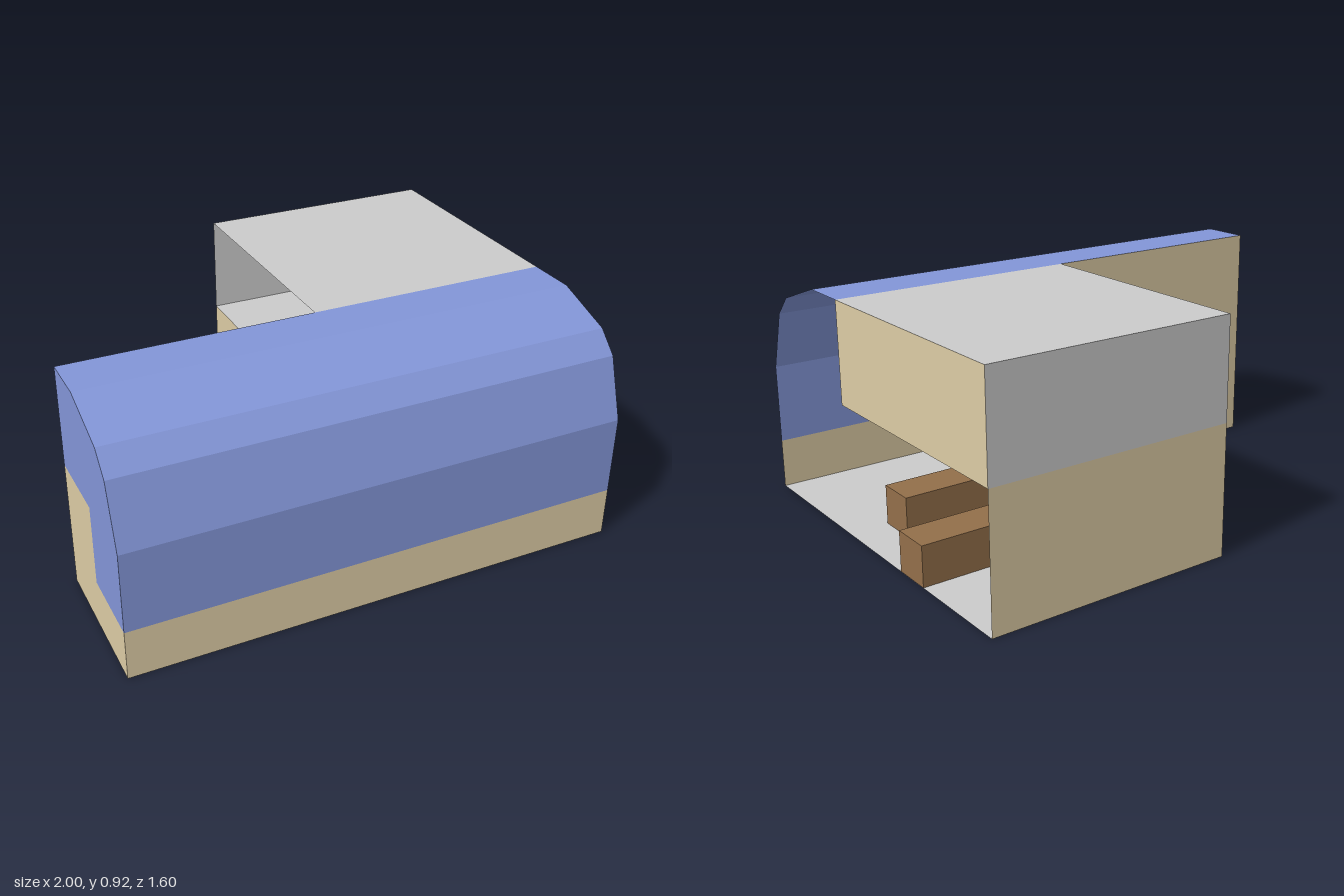
import * as THREE from 'three';

const material = (color) => new THREE.MeshStandardMaterial({ color, flatShading: true, side: THREE.DoubleSide });

export function createModel() {
  const group = new THREE.Group();
  const grey = material(0xcccccc);
  const tan = material(0xddcca5);
  const blue = material(0x8396d8);
  const wood = material(0x936f4a);

  const add = (name, geometry, mat) => {
    const mesh = new THREE.Mesh(geometry, mat);
    mesh.name = name;
    group.add(mesh);
    return mesh;
  };
  // Thin panels: across x (facing z), across z (facing x), and level slabs
  const wallZ = (name, mat, x0, x1, y0, y1, z) =>
    add(name, new THREE.PlaneGeometry(x1 - x0, y1 - y0), mat).position.set((x0 + x1) / 2, (y0 + y1) / 2, z);
  const wallX = (name, mat, z0, z1, y0, y1, x) =>
    add(name, new THREE.PlaneGeometry(z1 - z0, y1 - y0).rotateY(-Math.PI / 2), mat)
      .position.set(x, (y0 + y1) / 2, (z0 + z1) / 2);
  const slab = (name, mat, x0, x1, z0, z1, y) =>
    add(name, new THREE.PlaneGeometry(x1 - x0, z1 - z0).rotateX(-Math.PI / 2), mat)
      .position.set((x0 + x1) / 2, y, (z0 + z1) / 2);
  // Outline given as [z, y] pairs
  const outline = (points) => new THREE.Shape(points.map(([z, y]) => new THREE.Vector2(z, y)));

  // L-shaped floor
  slab('frontFloor', grey, -1, 1, 0.2, 0.8, 0);
  slab('backFloor', grey, 0, 1, -0.8, 0.2, 0);

  // Front wing: low wall, back wall, faceted glass roof
  wallZ('frontLowWall', tan, -1, 1, 0, 0.2, 0.8);
  wallZ('frontWingBackWall', tan, -1, 0, 0, 0.92, 0.2);
  const curve = [[0.8, 0.2], [0.8, 0.52], [0.72, 0.76], [0.64, 0.84], [0.4, 0.92], [0.2, 0.92]];
  const roof = new THREE.PlaneGeometry(2, 1, 1, curve.length - 1);
  const pos = roof.attributes.position;
  for (let i = 0; i < pos.count; i++) {
    const [z, y] = curve[curve.length - 1 - Math.floor(i / 2)];
    pos.setXYZ(i, pos.getX(i), y, z);
  }
  roof.computeVertexNormals();
  add('glassRoof', roof, blue);

  // Right end of the front wing: stepped wall below, glass above
  const step = [[0.8, 0.2], [0.5, 0.2], [0.5, 0.52], [0.2, 0.52]];
  const endWall = outline([[0.2, 0], [0.8, 0], ...step]);
  const endGlass = outline([...curve, ...step.slice(1).reverse()]);
  for (const [name, shape, mat] of [['endWall', endWall, tan], ['endGlass', endGlass, blue]]) {
    add(name, new THREE.ShapeGeometry(shape).rotateY(-Math.PI / 2), mat).position.x = -1;
  }

  // Back wing, lower storey (open on the left side)
  wallX('lowerInnerWall', tan, -0.8, 0.2, 0, 0.52, 0);
  wallZ('lowerBackWall', tan, 0, 1, 0, 0.52, -0.8);

  // Back wing, upper storey (open towards the courtyard)
  slab('upperFloor', grey, 0, 1, -0.8, 0.2, 0.52);
  slab('flatRoof', grey, 0, 1, -0.8, 0.2, 0.92);
  wallX('upperSideWall', tan, -0.8, 0.2, 0.52, 0.92, 1);
  wallZ('upperBackWall', grey, 0, 1, 0.52, 0.92, -0.8);
  wallZ('upperPartition', tan, 0, 1, 0.52, 0.92, 0.2);

  // Wooden counters
  for (const [name, x0, x1, z] of [['frontCounter', 0, 0.84, 0.12], ['backCounter', 0.48, 1, -0.28]]) {
    add(name, new THREE.BoxGeometry(x1 - x0, 0.16, 0.16), wood).position.set((x0 + x1) / 2, 0.081, z);
  }

  // Glass display case on the front counter
  const caseShape = outline([[0.04, 0.16], [0.2, 0.16], [0.2, 0.24], [0.12, 0.32], [0.04, 0.32]]);
  add('displayCase', new THREE.ExtrudeGeometry(caseShape, { depth: 0.44, bevelEnabled: false })
    .rotateY(-Math.PI / 2), blue).position.x = 0.44;

  return group;
}
